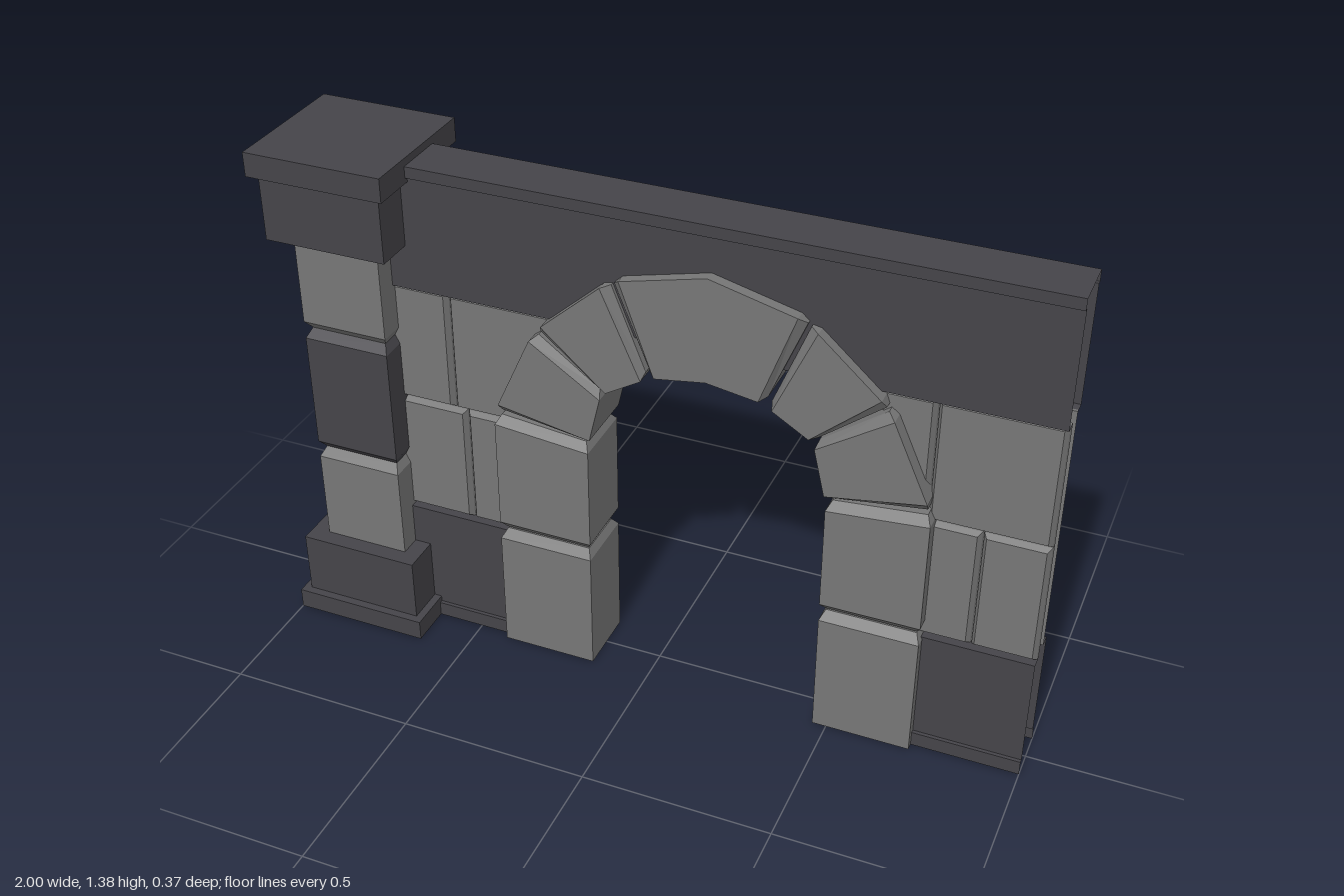
import * as THREE from 'three';

const light = new THREE.MeshStandardMaterial({ color: 0x767676, flatShading: true, side: THREE.DoubleSide });
const dark = new THREE.MeshStandardMaterial({ color: 0x454449, flatShading: true, side: THREE.DoubleSide });

function meshFrom(pos, name, material) {
  const g = new THREE.BufferGeometry();
  g.setAttribute('position', new THREE.Float32BufferAttribute(pos, 3));
  g.computeVertexNormals();
  const m = new THREE.Mesh(g, material);
  m.name = name;
  return m;
}

// Skin four-cornered rings into a closed block; corners run counter-clockwise seen from the last ring
function loft(rings, name, material) {
  const pos = [];
  const quad = (a, b, c, d) => pos.push(...a, ...b, ...c, ...a, ...c, ...d);
  for (let r = 0; r < rings.length - 1; r++) {
    const p = rings[r], q = rings[r + 1];
    for (let i = 0; i < 4; i++) {
      const j = (i + 1) % 4;
      quad(p[i], p[j], q[j], q[i]);
    }
  }
  const first = rings[0], last = rings[rings.length - 1];
  quad(first[3], first[2], first[1], first[0]);
  quad(...last);
  return meshFrom(pos, name, material);
}

// Cross-section of a stone between an inner and an outer point, pulled in by d
function ring([ix, iy], [ox, oy], halfZ, d) {
  const len = Math.hypot(ox - ix, oy - iy);
  const dx = (ox - ix) / len * d * 0.6, dy = (oy - iy) / len * d * 0.6, z = halfZ - d;
  return [
    [ix + dx, iy + dy, z], [ox - dx, oy - dy, z],
    [ox - dx, oy - dy, -z], [ix + dx, iy + dy, -z],
  ];
}

const mix = (a, b, t) => a.map((v, i) => v + (b[i] - v) * t);

// Stone running through sections [inner, outer], chamfered at the chosen ends
function stone(sections, halfZ, bevelA, bevelB, name, material) {
  const n = sections.length - 1;
  const near = (a, b) => {
    const len = Math.hypot(b[1][0] - a[1][0], b[1][1] - a[1][1]);
    return [0, 1].map(k => mix(a[k], b[k], 0.024 / len));
  };
  const rings = [ring(...sections[0], halfZ, bevelA)];
  if (bevelA) rings.push(ring(...near(sections[0], sections[1]), halfZ, 0));
  for (let i = 1; i < n; i++) rings.push(ring(...sections[i], halfZ, 0));
  if (bevelB) rings.push(ring(...near(sections[n], sections[n - 1]), halfZ, 0));
  rings.push(ring(...sections[n], halfZ, bevelB));
  return loft(rings, name, material);
}

function buildArch() {
  const arch = new THREE.Group();
  arch.name = 'arch';
  const cx = 0.153;
  // Each half stone: lower and upper joint as [inner, outer], x measured from the arch centre
  const half = [
    [[[0.31, 0], [0.567, 0]], [[0.31, 0.363], [0.567, 0.363]]],
    [[[0.31, 0.367], [0.567, 0.367]], [[0.31, 0.695], [0.567, 0.72]]],
    [[[0.308, 0.7], [0.565, 0.735]], [[0.272, 0.853], [0.452, 0.985]]],
    [[[0.27, 0.857], [0.446, 0.995]], [[0.156, 0.926], [0.252, 1.168]]],
  ];
  const place = (section, s) => section.map(([x, y]) => [cx + s * x, y]);
  half.forEach(([a, b], i) => {
    const foot = i === 0 ? 0 : 0.02;
    arch.add(stone([place(a, 1), place(b, 1)], 0.09, foot, 0.02, 'archStoneLeft' + (i + 1), light));
    arch.add(stone([place(b, -1), place(a, -1)], 0.09, 0.02, foot, 'archStoneRight' + (i + 1), light));
  });
  const side = [[0.146, 0.934], [0.244, 1.175]];
  arch.add(stone([place(side, 1), [[cx, 0.957], [cx, 1.236]], place(side, -1)],
    0.09, 0.02, 0.02, 'keystone', light));
  return arch;
}

function buildPillar() {
  const pillar = new THREE.Group();
  pillar.name = 'pillar';
  const cx = -0.814;
  // Plinth and capital slabs: half width, half depth, bottom, top
  for (const [name, w, d, y0, y1] of [
    ['pillarPlinth', 0.186, 0.186, 0, 0.056],
    ['pillarBase', 0.165, 0.164, 0.056, 0.23],
    ['pillarCapital', 0.165, 0.164, 1.14, 1.316],
    ['pillarCap', 0.186, 0.186, 1.316, 1.38],
  ]) {
    const m = new THREE.Mesh(new THREE.BoxGeometry(2 * w, y1 - y0, 2 * d), dark);
    m.position.set(cx, (y0 + y1) / 2, 0);
    m.name = name;
    pillar.add(m);
  }
  // Shaft stones
  for (const [name, y0, y1, a, b, mat] of [
    ['shaftStoneLower', 0.23, 0.505, 0, 0.02, light],
    ['shaftStoneMiddle', 0.505, 0.87, 0.02, 0.02, dark],
    ['shaftStoneUpper', 0.87, 1.14, 0.02, 0, light],
  ]) {
    const section = y => [[-0.93, y], [-0.695, y]];
    pillar.add(stone([section(y0), section(y1)], 0.119, a, b, name, mat));
  }
  return pillar;
}

// Thin open sheet: a [z, y] profile swept along x
function sheet(profile, x0, x1, name) {
  const pos = [];
  for (let i = 0; i < profile.length - 1; i++) {
    const [z0, y0] = profile[i], [z1, y1] = profile[i + 1];
    pos.push(x0, y0, z0, x1, y0, z0, x1, y1, z1, x0, y0, z0, x1, y1, z1, x0, y1, z1);
  }
  return meshFrom(pos, name, dark);
}

function buildWall() {
  const wall = new THREE.Group();
  wall.name = 'wall';
  // Hollow beam with a projecting lip, open at its end
  const front = [[0.028, 1.02], [0.06, 1.02], [0.06, 1.33], [0.07, 1.33], [0.07, 1.36]];
  const back = front.map(([z, y]) => [-z, y]).reverse();
  wall.add(sheet([...front, ...back], -0.72, 1, 'beam'));

  for (const s of [1, -1]) {
    const face = s > 0 ? 'Front' : 'Back';
    // Footing skins on both sides of the opening
    let foot = [[0.07, 0], [0.07, 0.04], [0.06, 0.04], [0.06, 0.345], [0.028, 0.345]];
    foot = foot.map(([z, y]) => [s * z, y]);
    if (s < 0) foot.reverse();
    wall.add(sheet(foot, -0.72, -0.35, 'footingRight' + face));
    wall.add(sheet(foot, 0.65, 1, 'footingLeft' + face));

    // Two courses of chamfered stones
    for (const [x0, x1, y0, y1] of [
      [-0.74, -0.517, 0.345, 0.684], [-0.517, -0.3, 0.345, 0.684],
      [-0.74, -0.55, 0.684, 1.022], [-0.55, -0.26, 0.684, 1.022],
      [0.6, 0.835, 0.345, 0.684], [0.835, 1, 0.345, 0.684],
      [0.565, 0.7, 0.684, 1.022], [0.7, 1, 0.684, 1.022],
    ]) {
      const rect = (z, d) => {
        const r = [[x0 + d, y0 + d, s * z], [x1 - d, y0 + d, s * z], [x1 - d, y1 - d, s * z], [x0 + d, y1 - d, s * z]];
        return s > 0 ? r : r.reverse();
      };
      wall.add(loft([rect(0.025, 0), rect(0.036, 0.002), rect(0.05, 0.011)], 'wallStone' + face, light));
    }
  }
  return wall;
}

export function createModel() {
  const model = new THREE.Group();
  model.name = 'stoneArchway';
  model.add(buildPillar(), buildWall(), buildArch());
  return model;
}
